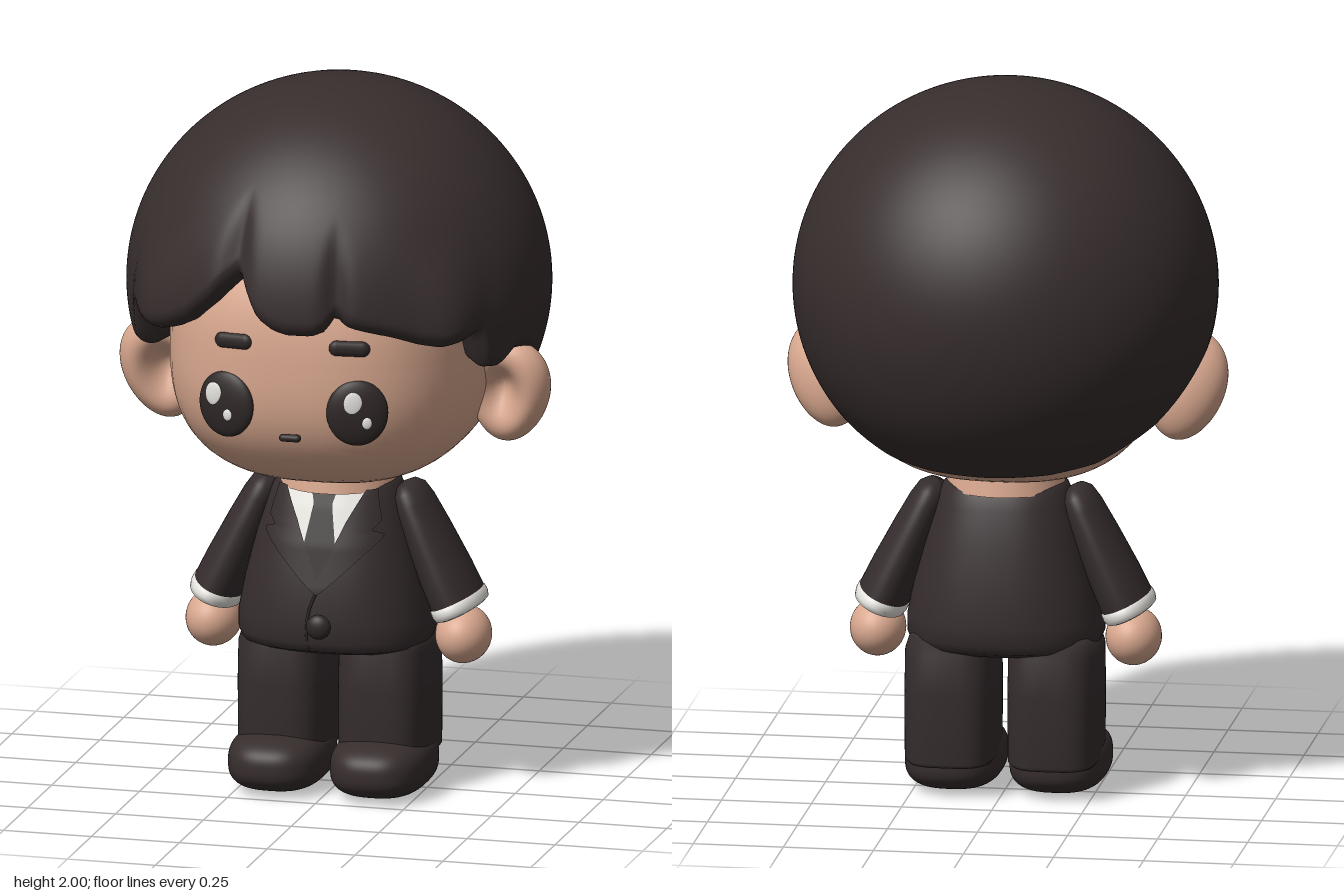
import * as THREE from 'three';

const mat = (name, color, side = THREE.FrontSide) => {
  const m = new THREE.MeshStandardMaterial({ color, side });
  m.name = name;
  return m;
};
const lerp = THREE.MathUtils.lerp;

// Piecewise-linear lookup: rows sorted by their first entry
function sample(rows, key, col) {
  let i = 0;
  while (i < rows.length - 2 && key > rows[i + 1][0]) i++;
  const t = THREE.MathUtils.clamp((key - rows[i][0]) / (rows[i + 1][0] - rows[i][0]), 0, 1);
  return lerp(rows[i][col], rows[i + 1][col], t);
}

// Surface from fn(row, column) -> [x, y, z]; rows run upward, columns to the right
function grid(rows, cols, wrap, fn) {
  const pos = [], idx = [], n = wrap ? cols : cols + 1;
  for (let r = 0; r <= rows; r++) for (let c = 0; c < n; c++) pos.push(...fn(r, c));
  for (let r = 0; r < rows; r++) for (let c = 0; c < cols; c++) {
    const a = r * n + c, b = r * n + (c + 1) % n;
    idx.push(a, b, b + n, a, b + n, a + n);
  }
  const g = new THREE.BufferGeometry();
  g.setAttribute('position', new THREE.Float32BufferAttribute(pos, 3));
  g.setIndex(idx);
  g.computeVertexNormals();
  return g;
}

// Superellipse loft from [y, half width, front z, back z]
const spow = (v, e) => Math.sign(v) * Math.abs(v) ** e;
function loft(rows, p, cols = 72) {
  return grid(rows.length - 1, cols, true, (r, c) => {
    const a = (c / cols) * Math.PI * 2, [y, rx, f, b] = rows[r];
    const x = spow(Math.sin(a), 2 / p), z = spow(Math.cos(a), 2 / p);
    return [rx * x, y, (f + b) / 2 + ((f - b) / 2) * z];
  });
}

// Superellipsoid with separate radii up/down and front/back
function blob(rx, up, down, front, back, p) {
  const g = new THREE.SphereGeometry(1, 64, 48), a = g.attributes.position;
  for (let i = 0; i < a.count; i++) {
    const x = a.getX(i), y = a.getY(i), z = a.getZ(i);
    const k = (Math.abs(x) ** p + Math.abs(y) ** p + Math.abs(z) ** p) ** (-1 / p);
    a.setXYZ(i, x * k * rx, y * k * (y > 0 ? up : down), z * k * (z > 0 ? front : back));
  }
  g.computeVertexNormals();
  return g;
}

// Hairline height by heading in degrees (0 = front, + = model's left)
const HAIRLINE = [
  [-180, 0.935], [-150, 0.94], [-128, 0.96], [-108, 1.05], [-97, 1.17], [-82, 1.28], [-74, 1.29],
  [-68, 1.25], [-62, 1.26], [-57, 1.38], [-50, 1.365], [-44, 1.36], [-38, 1.375], [-32, 1.405],
  [-24, 1.475], [-16, 1.57], [-12, 1.5], [-8.5, 1.44], [-4, 1.41], [0, 1.4], [7, 1.4], [11, 1.415],
  [14, 1.46], [17, 1.43], [22, 1.415], [30, 1.395], [38, 1.37], [44, 1.36], [50, 1.365], [57, 1.38],
  [62, 1.26], [68, 1.25], [74, 1.29], [82, 1.28], [97, 1.17], [108, 1.05], [128, 0.96], [150, 0.94], [180, 0.935],
];
function hairGeometry() {
  const cols = 240, rim = 9, rows = 56;
  const bump = (a, c, w) => Math.exp(-(((a - c) / w) ** 2));
  return grid(rows, cols, true, (r, c) => {
    const deg = -180 + (c / cols) * 360, a = THREE.MathUtils.degToRad(deg);
    const end = Math.acos((sample(HAIRLINE, deg, 1) - 1.43) / 0.57);
    let k = 1, phi, low = 1;
    if (r === 0) { k = 0.68; phi = end - 0.05; }
    else if (r <= rim) {
      const b = ((r - 1) / (rim - 1)) * Math.PI / 2;
      k = 1 - 0.09 * (1 - Math.sin(b));
      phi = end - 0.09 * (1 - Math.cos(b));
    } else {
      const t = (r - rim) / (rows - rim);
      phi = (end - 0.09) * (1 - t);
      low = Math.max(0, 1 - t / 0.3) ** 2 * (1 + 2 * t / 0.3);
    }
    // Fuller temple locks and grooves between fringe locks
    k += low * (0.05 * (bump(deg, 46, 9) + bump(deg, -46, 9)) - 0.04 * (bump(deg, -16, 4) + bump(deg, 14, 3)));
    const s = Math.sin(phi) * k;
    return [0.585 * s * Math.sin(a), 1.43 + 0.57 * k * Math.cos(phi), 0.576 * s * Math.cos(a)];
  });
}

// Ear: flattened sphere with a dished front
function earGeometry() {
  const g = new THREE.SphereGeometry(1, 48, 36), a = g.attributes.position;
  for (let i = 0; i < a.count; i++) {
    const x = a.getX(i), y = a.getY(i), z = a.getZ(i);
    const dish = z > 0 ? 1.15 * Math.exp(-(((x + 0.15) / 0.48) ** 2) - ((y - 0.05) / 0.5) ** 2) : 0;
    a.setXYZ(i, x * 0.115 * (1 + 0.12 * y), y * 0.155, (z - dish) * 0.085);
  }
  g.computeVertexNormals();
  return g;
}

const TORSO = [
  [0.41, 0, 0.02, 0.01], [0.411, 0.235, 0.19, -0.165], [0.425, 0.26, 0.228, -0.195], [0.45, 0.27, 0.24, -0.21],
  [0.5, 0.27, 0.242, -0.215], [0.6, 0.25, 0.235, -0.205], [0.72, 0.22, 0.205, -0.185],
  [0.82, 0.19, 0.168, -0.155], [0.865, 0.172, 0.148, -0.137], [0.885, 0.15, 0.125, -0.115], [0.89, 0, 0.01, 0],
];
function torsoZ(x, y) {
  const f = sample(TORSO, y, 2), b = sample(TORSO, y, 3), p = 2.4;
  const u = Math.min(1, Math.abs(x) / sample(TORSO, y, 1));
  return (f + b) / 2 + ((f - b) / 2) * (1 - u ** p) ** (1 / p);
}
// Thin cloth panel lying on the chest; edges are [y, left x, right x]
function panel(edges, lift) {
  const n = 24, y0 = edges[0][0], y1 = edges[edges.length - 1][0];
  return grid(n, 8, false, (r, c) => {
    const y = lerp(y0, y1, r / n), x = lerp(sample(edges, y, 1), sample(edges, y, 2), c / 8);
    return [x, y, torsoZ(x, y) + lift];
  });
}

export function createModel() {
  const root = new THREE.Group();
  root.name = 'suitedFigure';
  const hair = mat('hair', 0x372d2d), suit = mat('suit', 0x352c2d, THREE.DoubleSide);
  const skin = mat('skin', 0xd9a88f), white = mat('shirtWhite', 0xe6e4df, THREE.DoubleSide);
  const dark = mat('faceDark', 0x2e2626);
  const add = (name, geo, m, x = 0, y = 0, z = 0, parent = root) => {
    const o = new THREE.Mesh(geo, m);
    o.name = name;
    o.position.set(x, y, z);
    parent.add(o);
    return o;
  };
  const ball = new THREE.SphereGeometry(1, 40, 28);

  // Head
  add('head', blob(0.44, 0.45, 0.39, 0.52, 0.38, 2.6), skin, 0, 1.28, 0);
  add('hair', hairGeometry(), hair);
  add('neck', new THREE.CylinderGeometry(0.15, 0.165, 0.09, 40), skin, 0, 0.905, 0.01);
  add('mouth', new THREE.CapsuleGeometry(0.011, 0.04, 6, 12), dark, 0, 1.105, 0.512).rotation.z = Math.PI / 2;

  const ear = earGeometry();
  const sleeve = new THREE.LatheGeometry([[0, 0], [0.128, 0], [0.13, 0.02], [0.125, 0.1], [0.11, 0.22],
    [0.095, 0.31], [0.08, 0.35], [0.05, 0.37], [0, 0.378]].map(p => new THREE.Vector2(...p)), 48);
  const cuff = new THREE.LatheGeometry([[0, -0.012], [0.118, -0.014], [0.132, -0.01], [0.138, 0.004],
    [0.136, 0.02], [0.125, 0.028]].map(p => new THREE.Vector2(...p)), 48);
  const leg = loft([[0.09, 0, 0.01, -0.02], [0.092, 0.115, 0.15, -0.165], [0.105, 0.126, 0.163, -0.18],
    [0.3, 0.127, 0.165, -0.18], [0.41, 0.125, 0.163, -0.178], [0.46, 0.11, 0.14, -0.15], [0.47, 0, 0, -0.01]], 3.4);
  const shoe = blob(0.136, 0.086, 0.083, 0.2, 0.2, 2.7);

  for (const s of [1, -1]) {
    const side = s > 0 ? 'left' : 'right';
    // Face details and ear
    const eye = new THREE.Group();
    eye.name = side + 'Eye';
    eye.position.set(s * 0.186, 1.185, 0.493);
    eye.rotation.y = s * 0.28;
    root.add(eye);
    add('pupil', ball, dark, 0, 0, 0, eye).scale.set(0.085, 0.093, 0.026);
    add('largeGlint', ball, white, s > 0 ? -0.012 : -0.028, 0.03, 0.022, eye).scale.set(0.026, 0.033, 0.006);
    add('smallGlint', ball, white, s > 0 ? 0.026 : 0.017, -0.024, 0.023, eye).scale.set(0.014, 0.017, 0.005);
    const brow = add(side + 'Brow', new THREE.CapsuleGeometry(0.022, 0.07, 8, 16), dark, s * 0.165, 1.366, 0.497);
    brow.rotation.set(0, s * 0.25, Math.PI / 2 - s * 0.04, 'YXZ');
    brow.scale.z = 0.6;
    const earMesh = add(side + 'Ear', s > 0 ? ear : ear.clone().scale(-1, 1, 1), skin, s * 0.492, 1.155, 0.035);
    if (s < 0) earMesh.geometry.setIndex(Array.from(ear.index.array).reverse());
    earMesh.rotation.set(0.25, 0, -s * 0.15);

    // Arm
    const arm = new THREE.Group();
    arm.name = side + 'Arm';
    arm.position.set(s * 0.345, 0.525, 0);
    arm.rotation.z = s * 0.43;
    root.add(arm);
    add('sleeve', sleeve, suit, 0, 0, 0, arm).scale.x = 0.56;
    add('cuff', cuff, white, 0, 0, 0, arm).scale.x = 0.55;
    add(side + 'Hand', ball, skin, s * 0.355, 0.445, 0.005).scale.set(0.077, 0.08, 0.094);

    // Leg and shoe
    add(side + 'Leg', leg, suit, s * 0.143, 0, 0);
    add(side + 'Shoe', shoe, hair, s * 0.145, 0.083, 0.06);

    // Notched lapel
    const lapel = [[0.59, 0, 0.004], [0.63, 0, 0.05], [0.75, 0.053, 0.175], [0.765, 0.06, 0.135],
      [0.785, 0.068, 0.16], [0.868, 0.112, 0.14]];
    add(side + 'Lapel', panel(s > 0 ? lapel : lapel.map(([y, a, b]) => [y, -b, -a]), 0.009), suit);
  }

  // Jacket, shirt and tie
  add('jacket', loft(TORSO, 2.4), suit);
  add('shirtFront', panel([[0.63, -0.002, 0.002], [0.875, -0.118, 0.118]], 0.003), white);
  add('tie', panel([[0.62, -0.003, 0.003], [0.71, -0.047, 0.047], [0.83, -0.026, 0.026],
    [0.875, -0.038, 0.038]], 0.007), dark);
  const seam = [[0, 0.6], [-0.022, 0.54], [-0.028, 0.48], [-0.024, 0.43]]
    .map(([x, y]) => new THREE.Vector3(x, y, torsoZ(x, y)));
  add('jacketSeam', new THREE.TubeGeometry(new THREE.CatmullRomCurve3(seam), 20, 0.004, 8), dark);
  add('button', ball, dark, 0.012, 0.505, 0.262).scale.set(0.035, 0.035, 0.022);
  return root;
}
